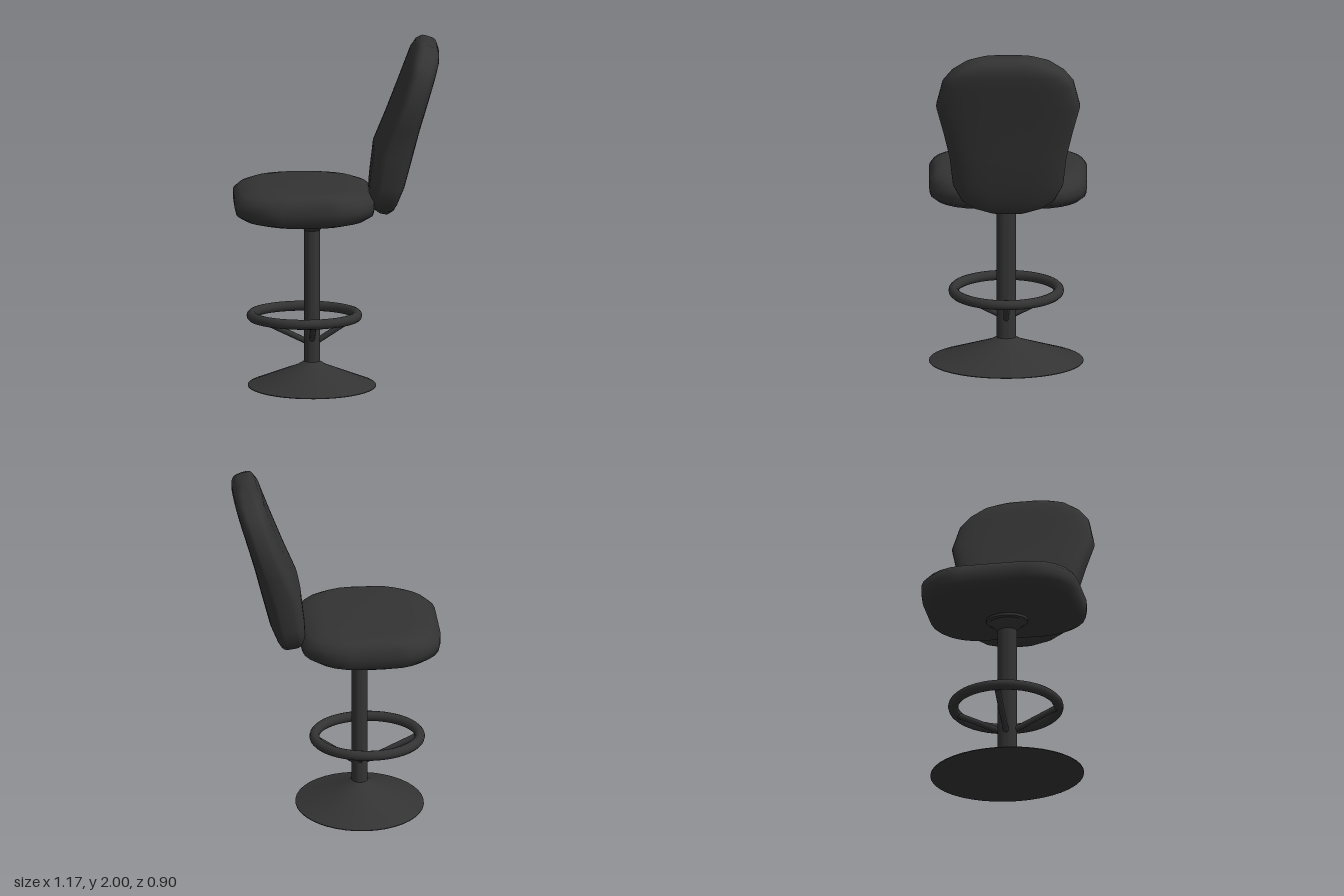
import * as THREE from 'three';
import { toCreasedNormals } from 'three/addons/utils/BufferGeometryUtils.js';

const STEM_X = -0.14;
const Z = 0.01;

// Closed skin over rings listed from bottom to top, each counterclockwise from above
function loft(rings) {
  const n = rings[0].length;
  const verts = rings.flat();
  const index = [];
  for (let i = 0; i < rings.length - 1; i++) {
    for (let j = 0; j < n; j++) {
      const a = i * n + j;
      const b = i * n + ((j + 1) % n);
      index.push(a, b, b + n, a, b + n, a + n);
    }
  }
  const centre = (ring) => ring.reduce((s, p) => s.add(p), new THREE.Vector3()).divideScalar(n);
  const low = verts.push(centre(rings[0])) - 1;
  const high = verts.push(centre(rings[rings.length - 1])) - 1;
  const last = (rings.length - 1) * n;
  for (let j = 0; j < n; j++) {
    const k = (j + 1) % n;
    index.push(low, k, j, high, last + j, last + k);
  }
  const geo = new THREE.BufferGeometry().setFromPoints(verts);
  geo.setIndex(index);
  geo.computeVertexNormals();
  return geo;
}

// Unit superellipse as [u, v] pairs
function superellipse(power, n) {
  const pts = [];
  for (let j = 0; j < n; j++) {
    const a = (j / n) * Math.PI * 2;
    const c = Math.cos(a);
    const s = Math.sin(a);
    pts.push([
      Math.sign(c) * Math.abs(c) ** (2 / power),
      Math.sign(s) * Math.abs(s) ** (2 / power),
    ]);
  }
  return pts;
}

// Rounded rectangle ring lying flat at height y
function roundedRing(cx, y, hx, hz, radius) {
  const ring = [];
  for (let q = 0; q < 4; q++) {
    const sx = q === 0 || q === 3 ? 1 : -1;
    const sz = q < 2 ? -1 : 1;
    for (let k = 0; k <= 6; k++) {
      const a = ((q + k / 6) * Math.PI) / 2;
      ring.push(new THREE.Vector3(
        cx + sx * (hx - radius) + radius * Math.cos(a),
        y,
        sz * (hz - radius) - radius * Math.sin(a)));
    }
  }
  return ring;
}

function lathe(profile) {
  const pts = profile.map(([r, y]) => new THREE.Vector2(r, y));
  return toCreasedNormals(new THREE.LatheGeometry(pts, 40), 0.4);
}

export function createModel() {
  const group = new THREE.Group();
  const material = new THREE.MeshStandardMaterial({ color: 0x333333 });
  const add = (name, geo) => {
    const mesh = new THREE.Mesh(geo, material);
    mesh.name = name;
    group.add(mesh);
    return mesh;
  };

  // Seat cushion: [height, inset in x, inset in z]
  const seatRings = [
    [0.97, 0.2, 0.12], [0.975, 0.13, 0.06], [0.99, 0.06, 0.03], [1.02, 0.01, 0.005],
    [1.06, 0, 0], [1.105, 0, 0], [1.14, 0.04, 0.02], [1.16, 0.1, 0.04], [1.17, 0.17, 0.08],
  ].map(([y, ix, iz]) => roundedRing(-0.185, y, 0.4 - ix, 0.45 - iz, 0.26 - ix * 0.3));
  add('seat', loft(seatRings));

  // Backrest: [front x, front y, rear x, rear y, half width]
  const section = superellipse(3.6, 40);
  const backRings = [
    [0.235, 1.01, 0.295, 1.0, 0.1],
    [0.195, 1.05, 0.325, 1.03, 0.2],
    [0.18, 1.1, 0.345, 1.07, 0.265],
    [0.187, 1.2, 0.385, 1.17, 0.315],
    [0.21, 1.39, 0.43, 1.34, 0.335],
    [0.28, 1.55, 0.47, 1.5, 0.37],
    [0.345, 1.71, 0.515, 1.66, 0.41],
    [0.4, 1.86, 0.56, 1.81, 0.375],
    [0.42, 1.92, 0.58, 1.885, 0.325],
    [0.45, 1.975, 0.583, 1.93, 0.25],
    [0.48, 2.0, 0.57, 1.972, 0.16],
  ].map(([fx, fy, bx, by, w]) => section.map(([u, v]) => new THREE.Vector3(
    (fx + bx) / 2 + (u * (bx - fx)) / 2,
    (fy + by) / 2 + (u * (by - fy)) / 2,
    -v * w)));
  add('backrest', loft(backRings));

  // Pedestal, slightly narrower from front to back of the seat
  const pedestal = [
    ['base', [[0, 0], [0.44, 0], [0.44, 0.004], [0.1, 0.118], [0.055, 0.142]]],
    ['stem', [[0.055, 0.12], [0.055, 0.92]]],
    ['collar', [[0.055, 0.9], [0.1, 0.95], [0.12, 0.955], [0.12, 0.985]]],
  ];
  for (const [name, profile] of pedestal) {
    const mesh = add(name, lathe(profile));
    mesh.position.set(STEM_X, 0, Z);
    mesh.scale.x = 0.83;
  }

  // Footrest ring
  const ring = add('footRing', new THREE.TorusGeometry(0.3, 0.029, 12, 48));
  ring.rotation.x = Math.PI / 2;
  ring.position.set(-0.183, 0.405, Z);

  // Struts from the stem up to the ring
  const struts = [
    [STEM_X - 0.02, 0.25, 0, -0.475, 0.4, 0],
    [STEM_X + 0.02, 0.25, 0, 0.11, 0.4, 0],
    [STEM_X, 0.27, 0.03, STEM_X, 0.4, 0.295],
    [STEM_X, 0.27, -0.03, STEM_X, 0.4, -0.295],
  ];
  for (const [x0, y0, z0, x1, y1, z1] of struts) {
    const path = new THREE.LineCurve3(
      new THREE.Vector3(x0, y0, z0 + Z), new THREE.Vector3(x1, y1, z1 + Z));
    add('footRingStrut', new THREE.TubeGeometry(path, 1, 0.017, 10));
  }

  return group;
}
